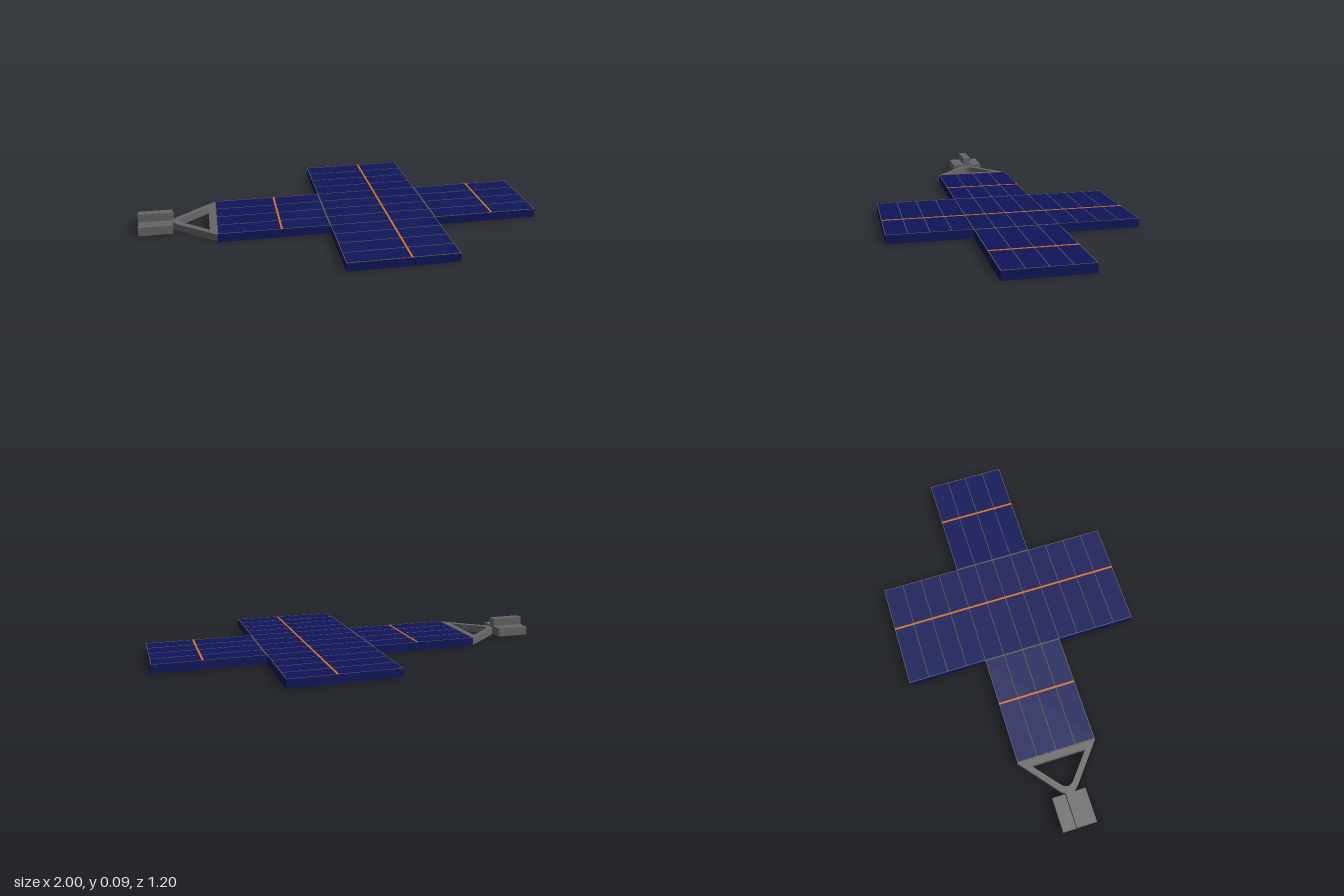
import * as THREE from 'three';

const paint = (color) => new THREE.MeshStandardMaterial({ color });

export function createModel() {
  const model = new THREE.Group();
  const blue = paint(0x10155a);
  const grey = paint(0x666666);
  const seamGrey = paint(0x555555);
  const orange = paint(0xd07028);

  // Box given by its extents along x, y and z
  function box(name, [x0, x1], [y0, y1], [z0, z1], material, parent = model) {
    const mesh = new THREE.Mesh(new THREE.BoxGeometry(x1 - x0, y1 - y0, z1 - z0), material);
    mesh.position.set((x0 + x1) / 2, (y0 + y1) / 2, (z0 + z1) / 2);
    mesh.name = name;
    parent.add(mesh);
    return mesh;
  }

  // Solar panels: a slab with cell seams, an edge trim and an orange divider
  const top = 0.043;
  const raised = [top - 0.001, top + 0.001];
  function panel(name, x0, x1, halfDepth, dividerX) {
    const group = new THREE.Group();
    group.name = name;
    box('panelSlab', [x0, x1], [0, top], [-halfDepth, halfDepth], blue, group);
    const rows = Math.round(halfDepth * 20);
    for (let i = 0; i <= rows; i++) {
      const z = THREE.MathUtils.lerp(-halfDepth + 0.002, halfDepth - 0.002, i / rows);
      box('cellSeam', [x0, x1], raised, [z - 0.002, z + 0.002], seamGrey, group);
    }
    for (const x of [x0 + 0.002, x1 - 0.002]) {
      box('edgeTrim', [x - 0.002, x + 0.002], raised, [-halfDepth, halfDepth], seamGrey, group);
    }
    box('dividerStrip', [dividerX - 0.005, dividerX + 0.005], [top - 0.001, top + 0.0015],
      [-halfDepth, halfDepth], orange, group);
    model.add(group);
  }
  panel('innerPanel', -0.62, -0.07, 0.2, -0.31);
  panel('crossPanel', -0.07, 0.465, 0.6, 0.235);
  panel('outerPanel', 0.465, 1, 0.2, 0.765);

  // Triangular yoke with a rounded tip and an open middle
  function trace(path, baseX, baseZ, shoulderX, shoulderZ, tipX) {
    path.moveTo(baseX, baseZ);
    path.lineTo(shoulderX, shoulderZ);
    path.quadraticCurveTo(tipX, 0, shoulderX, -shoulderZ);
    path.lineTo(baseX, -baseZ);
    path.closePath();
    return path;
  }
  const outline = trace(new THREE.Shape(), -0.62, 0.203, -0.81, 0.047, -0.862);
  outline.holes.push(trace(new THREE.Path(), -0.655, 0.138, -0.782, 0.032, -0.817));
  const yokeGeometry = new THREE.ExtrudeGeometry(outline, {
    depth: 0.036, bevelEnabled: false, curveSegments: 10,
  });
  yokeGeometry.rotateX(Math.PI / 2).translate(0, 0.041, 0);
  const yoke = new THREE.Mesh(yokeGeometry, grey);
  yoke.name = 'yoke';
  model.add(yoke);

  // Hinge block with a raised rib along its middle
  const hinge = new THREE.Group();
  hinge.name = 'hinge';
  box('hingeBase', [-1, -0.833], [0.006, 0.05], [-0.092, 0.076], grey, hinge);
  box('hingeRib', [-1, -0.833], [0.05, 0.091], [-0.028, 0.013], grey, hinge);
  model.add(hinge);

  return model;
}
